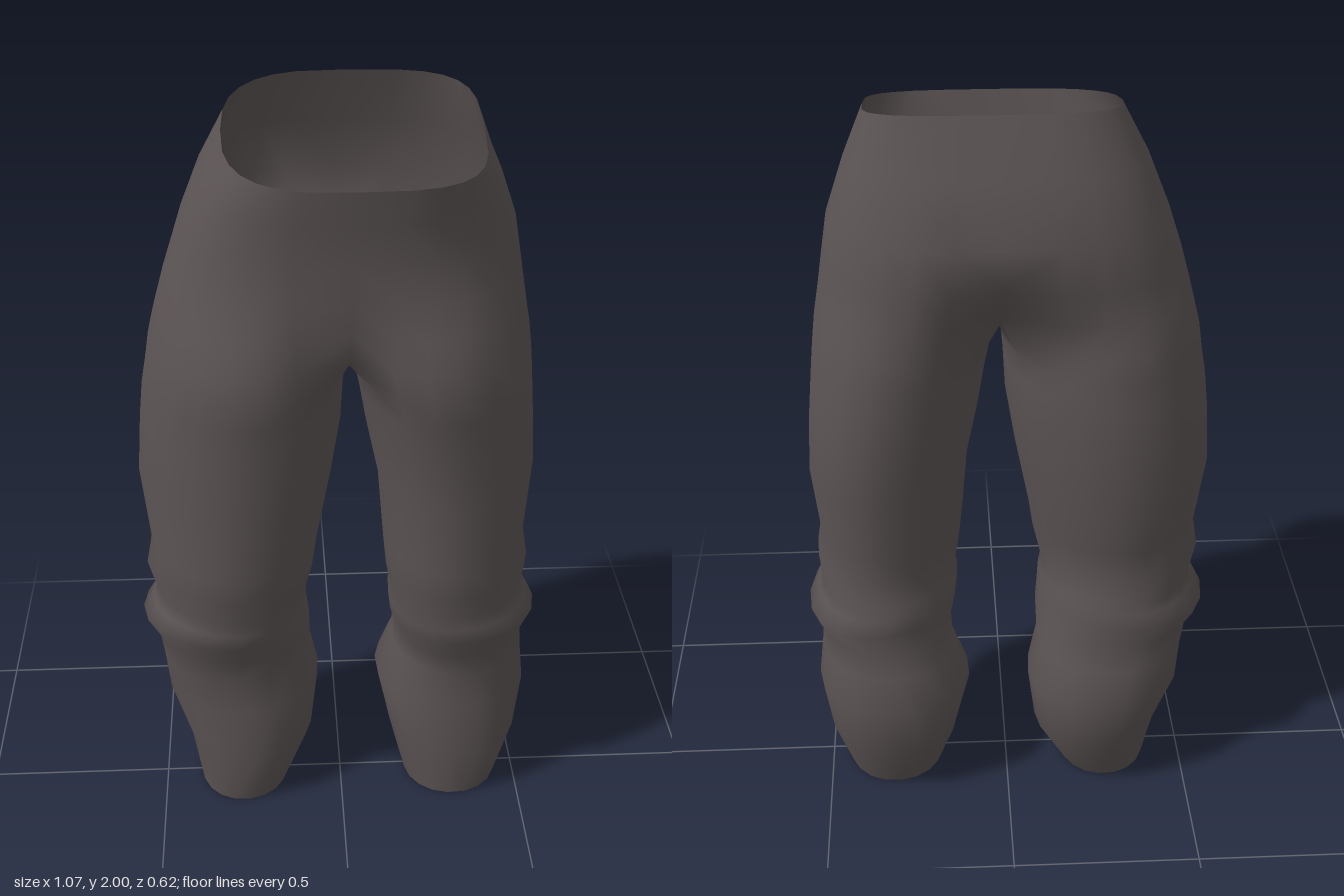
import * as THREE from 'three';
import { mergeVertices } from 'three/addons/utils/BufferGeometryUtils.js';

const OUTER = 14; // segments from front seam round the outside to the back seam
const INNER = 5;  // segments along the inner leg
const SEAM_X = 0.016;

// Hip rows: y, tilt (rise towards the back), leg-shape blend, right x, left x, front z, back z, squareness right, left
const HIPS = [
  [1.953, 0.23, 0, 0.28, 0.335, 0.31, -0.215, 2.8, 3.8],
  [1.83, 0.13, 0, 0.343, 0.385, 0.295, -0.264, 2.7, 2.8],
  [1.7, 0.04, 0.05, 0.395, 0.43, 0.28, -0.314, 2.6, 2.4],
  [1.59, 0, 0.25, 0.432, 0.448, 0.287, -0.3, 2.5, 2.4],
  [1.5, 0, 0.6, 0.458, 0.462, 0.298, -0.288, 2.4, 2.4],
  [1.42, 0, 1, 0.478, 0.476, 0.31, -0.283, 2.4, 2.4],
];

// Leg rows: y, right inner, right outer, left inner, left outer, front z, back z, lean, squareness
const LEGS = [
  [1.345, -0.007, 0.49, 0.034, 0.485, 0.31, -0.282, 0.03, 2],
  [1.28, -0.002, 0.502, 0.048, 0.491, 0.302, -0.282, 0.03, 2],
  [1.18, 0.003, 0.513, 0.065, 0.5, 0.282, -0.28, 0.03, 2],
  [1.02, 0.028, 0.525, 0.098, 0.51, 0.268, -0.264, 0.025, 2],
  [0.82, 0.066, 0.503, 0.114, 0.492, 0.253, -0.23, 0.02, 2],
  [0.74, 0.078, 0.518, 0.122, 0.505, 0.248, -0.213, 0.02, 2],
  [0.66, 0.098, 0.495, 0.138, 0.495, 0.22, -0.222, 0.015, 2.1],
  [0.63, 0.092, 0.508, 0.13, 0.508, 0.229, -0.23, 0.01, 2.1],
  [0.58, 0.088, 0.538, 0.136, 0.535, 0.217, -0.237, 0.01, 2.1],
  [0.52, 0.082, 0.502, 0.15, 0.502, 0.19, -0.22, 0, 2.2],
  [0.44, 0.083, 0.49, 0.146, 0.507, 0.163, -0.237, -0.01, 2.2],
  [0.33, 0.06, 0.48, 0.104, 0.52, 0.163, -0.256, -0.01, 2.2],
  [0.17, 0.08, 0.425, 0.14, 0.498, 0.17, -0.232, -0.01, 2.2],
  [0.005, 0.155, 0.4, 0.185, 0.45, 0.142, -0.152, 0, 2.1],
];

// Lowest line between the legs, back to front: y, z
const CROTCH = [[1.405, -0.06], [1.378, 0], [1.365, 0.07], [1.373, 0.14]];

// Point on a rounded section; lean pushes its back outwards and its front inwards
function section(t, x0, x1, zf, zb, n, lean) {
  const c = Math.cos(t), s = Math.sin(t);
  const px = Math.sign(c) * Math.abs(c) ** (2 / n);
  const pz = Math.sign(s) * Math.abs(s) ** (2 / n);
  return [(x0 + x1) / 2 + px * (x1 - x0) / 2 - lean * pz, (zf + zb) / 2 + pz * (zf - zb) / 2];
}

// Angle round the leg; the outer arc covers 270 degrees, the inner arc 90
function legAngle(j) {
  return j <= OUTER
    ? Math.PI * (0.75 - 1.5 * j / OUTER)
    : Math.PI * (-0.75 - 0.5 * (j - OUTER) / INNER);
}

function hipRow(row, side) {
  const [y, tilt, blend, xr, xl, zf, zb, nr, nl] = row;
  const xo = side > 0 ? xl : xr;
  const points = [];
  for (let j = 0; j <= OUTER; j++) {
    const hip = section(Math.PI * (0.5 - j / OUTER), -xo, xo, zf, zb, side > 0 ? nl : nr, 0);
    const leg = section(legAngle(j), 0.01, xo, zf, zb, 2, 0.03);
    const edge = j === 0 || j === OUTER;
    const cleft = j === OUTER ? blend : 0; // the back seam sinks in and rises
    const x = edge ? SEAM_X : side * THREE.MathUtils.lerp(hip[0], leg[0], blend);
    const z = THREE.MathUtils.lerp(hip[1], leg[1], blend) + 0.06 * cleft;
    points.push([x, y - tilt * z + 0.04 * cleft, z]);
  }
  return points;
}

function legRow(row, side) {
  const [y, ri, ro, li, lo, zf, zb, lean, n] = row;
  const fold = y > 0.5 && y < 0.8 ? 0.008 : 0; // sagging folds at the knee
  const points = [];
  for (let j = 0; j < OUTER + INNER; j++) {
    const t = legAngle(j);
    const [x, z] = section(t, side > 0 ? li : ri, side > 0 ? lo : ro, zf, zb, n, lean);
    points.push([side * x, y + fold * Math.sin(2 * t), z]);
  }
  return points;
}

// Joins consecutive rows with quads facing outwards
function loft(out, rows, closed, side) {
  for (let i = 0; i < rows.length - 1; i++) {
    const n = rows[i].length;
    for (let j = 0; j < (closed ? n : n - 1); j++) {
      const k = (j + 1) % n;
      const a = rows[i][j], b = rows[i + 1][j], c = rows[i + 1][k], d = rows[i][k];
      const quad = side > 0 ? [a, b, c, a, c, d] : [a, c, b, a, d, c];
      for (const p of quad) out.push(...p);
    }
  }
}

export function createModel() {
  const positions = [];
  for (const side of [1, -1]) {
    const hips = HIPS.map((r) => hipRow(r, side));
    loft(positions, hips, false, side);

    // Leg tube starts at the last hip row, closed by the crotch line
    const top = [...hips[hips.length - 1], ...CROTCH.map(([y, z]) => [SEAM_X, y, z])];
    loft(positions, [top, ...LEGS.map((r) => legRow(r, side))], true, side);
  }

  // Weld both halves so the cloth shades smoothly
  let geometry = new THREE.BufferGeometry();
  geometry.setAttribute('position', new THREE.Float32BufferAttribute(positions, 3));
  geometry = mergeVertices(geometry, 1e-4);
  geometry.computeVertexNormals();

  const material = new THREE.MeshStandardMaterial({ color: 0x5c5454, side: THREE.DoubleSide });
  const trousers = new THREE.Mesh(geometry, material);
  trousers.name = 'trousers';

  const group = new THREE.Group();
  group.name = 'trousersModel';
  group.add(trousers);
  return group;
}
